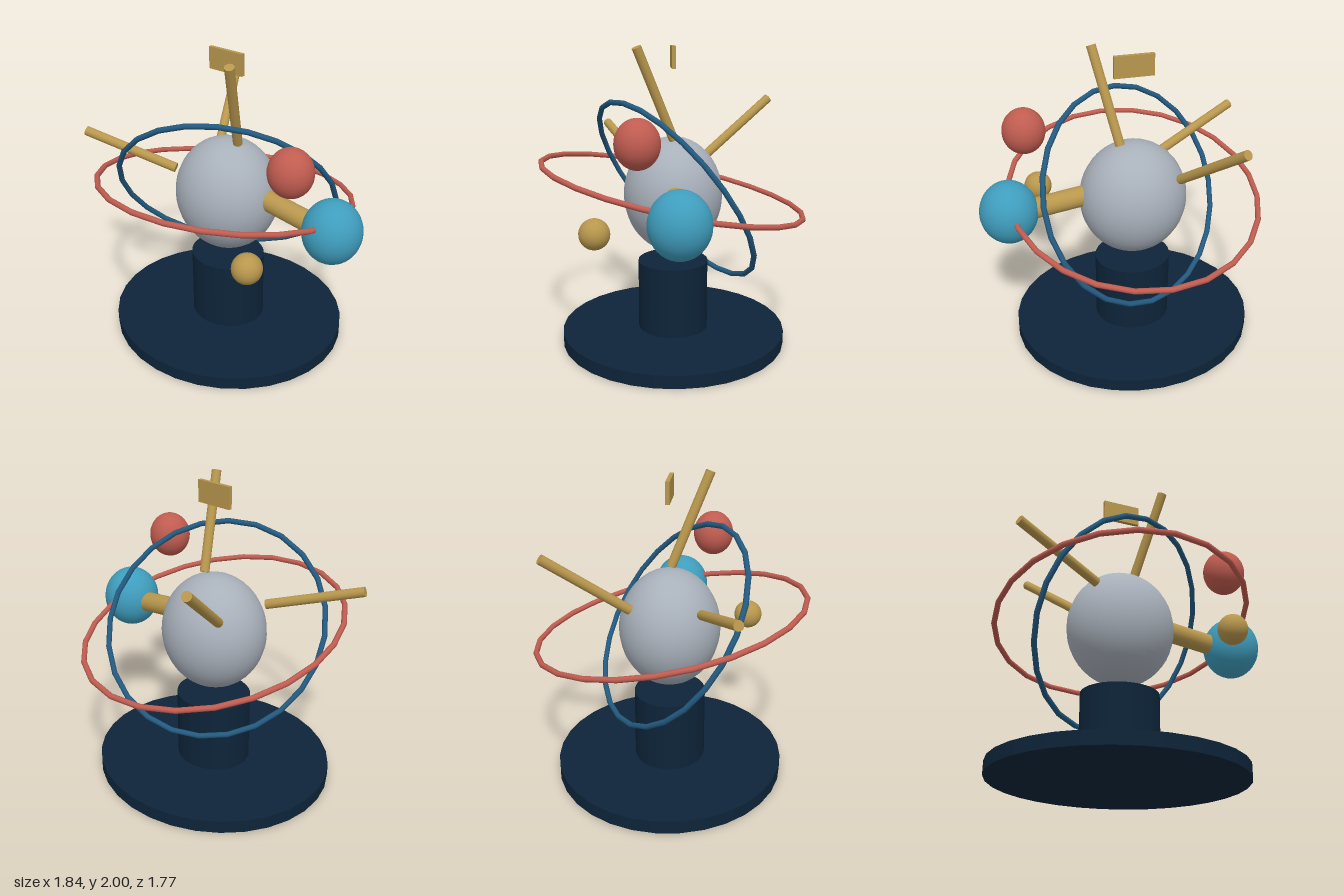
import * as THREE from 'three';

const CX = -0.087; // shared axis of base, globe and rings

function material(name, color) {
  const m = new THREE.MeshStandardMaterial({ color });
  m.name = name;
  return m;
}

// Elliptical loop: centre + a cos t + b sin t
class EllipseLoop extends THREE.Curve {
  constructor(centre, a, b) {
    super();
    Object.assign(this, { centre, a, b });
  }
  getPoint(u, target = new THREE.Vector3()) {
    const t = u * Math.PI * 2;
    return target.copy(this.centre)
      .addScaledVector(this.a, Math.cos(t))
      .addScaledVector(this.b, Math.sin(t));
  }
}

export function createModel() {
  const group = new THREE.Group();
  const v = (x, y, z) => new THREE.Vector3(x, y, z);

  const navy = material('navy', 0x0d2439);
  const grey = material('grey', 0xa8b0ba);
  const gold = material('gold', 0xb8974d);
  const coral = material('coral', 0xc05c50);
  const teal = material('teal', 0x3f9dbd);
  const blue = material('blue', 0x235a80);

  const add = (name, geometry, mat) => {
    const mesh = new THREE.Mesh(geometry, mat);
    mesh.name = name;
    group.add(mesh);
    return mesh;
  };
  const ball = (name, mat, pos, radii) => {
    const mesh = add(name, new THREE.SphereGeometry(1, 32, 24), mat);
    mesh.position.set(...pos);
    mesh.scale.set(...radii);
  };
  const disc = (name, y0, y1, rx, rz) => {
    const mesh = add(name, new THREE.CylinderGeometry(1, 1, y1 - y0, 32), navy);
    mesh.position.set(CX, (y0 + y1) / 2, 0);
    mesh.scale.set(rx, 1, rz);
  };
  const rod = (name, from, to, radius) => {
    const dir = to.clone().sub(from);
    const mesh = add(name, new THREE.CylinderGeometry(radius, radius, dir.length(), 20), gold);
    mesh.position.copy(from).add(to).multiplyScalar(0.5);
    mesh.quaternion.setFromUnitVectors(v(0, 1, 0), dir.normalize());
  };
  const ring = (name, mat, y, a, b, radius) =>
    add(name, new THREE.TubeGeometry(new EllipseLoop(v(CX, y, 0), a, b), 24, radius, 10, true), mat);

  // Stand
  disc('base', 0, 0.085, 0.815, 0.755);
  disc('pedestal', 0.085, 0.555, 0.255, 0.235);

  // Globe and its satellites
  ball('globe', grey, [CX, 1.012, 0], [0.355, 0.385, 0.328]);
  ball('tealBall', teal, [0.732, 1.012, 0], [0.188, 0.208, 0.19]);
  ball('coralBall', coral, [0.575, 1.453, 0.237], [0.14, 0.152, 0.137]);
  ball('goldBall', gold, [0.467, 0.893, 0.5], [0.095, 0.097, 0.096]);

  // Tilted orbit rings
  ring('flatRing', coral, 1.057, v(0.815, 0, 0), v(0, 0.185, 0.868), 0.018);
  ring('steepRing', blue, 1.032, v(0.635, 0.139, -0.269), v(0, 0.59, 0.416), 0.018);

  // Rods around the globe
  rod('topRod', v(0.0, 1.39, 0.0), v(0.125, 1.983, 0.235), 0.031);
  rod('leftRod', v(-0.335, 1.2, 0.222), v(-0.91, 1.385, 0.455), 0.031);
  rod('backRod', v(-0.335, 1.215, -0.22), v(-0.56, 1.598, -0.7), 0.031);
  rod('sideArm', v(0.24, 1.06, 0), v(0.61, 1.008, 0), 0.068);

  // Floating plaque
  add('plaque', new THREE.BoxGeometry(0.256, 0.14, 0.026), gold).position.set(CX, 1.915, 0);

  return group;
}
